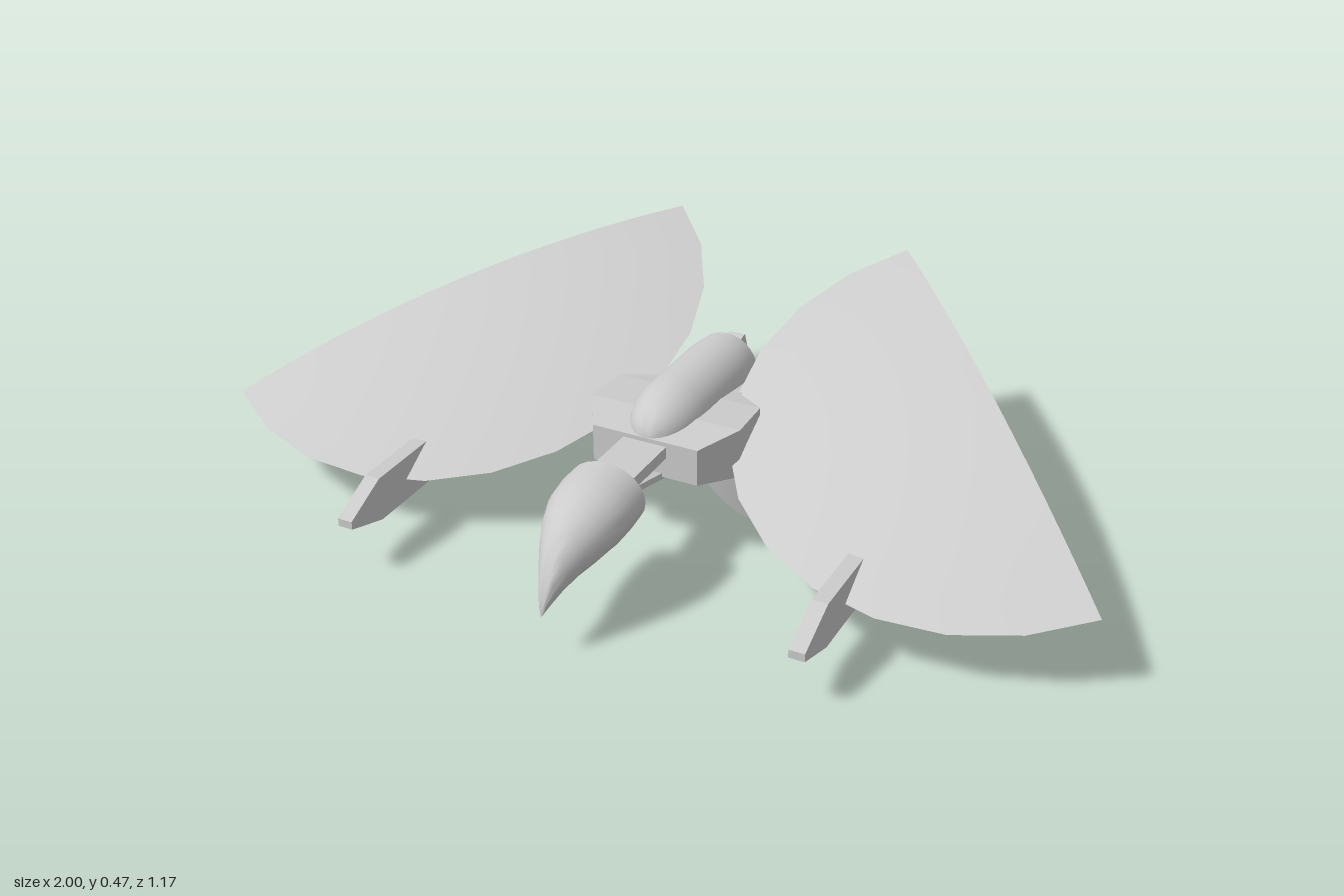
import * as THREE from 'three';
import { mergeGeometries, toCreasedNormals } from 'three/addons/utils/BufferGeometryUtils.js';

const material = new THREE.MeshStandardMaterial({ color: 0xcccccc, side: THREE.DoubleSide });
const V = (x, y, z) => new THREE.Vector3(x, y, z);

function part(name, geometry, crease = 0.6) {
  const mesh = new THREE.Mesh(toCreasedNormals(geometry, crease), material);
  mesh.name = name;
  return mesh;
}

// Skin over closed rings of [x, y, z] points, ordered from back to front
function loft(rings) {
  const n = rings[0].length, index = [];
  for (let i = 0; i < rings.length - 1; i++) {
    for (let j = 0; j < n; j++) {
      const a = i * n + j, b = i * n + (j + 1) % n;
      index.push(a, b, b + n, a, b + n, a + n);
    }
  }
  const last = (rings.length - 1) * n;
  for (let j = 1; j < n - 1; j++) {
    index.push(0, j + 1, j, last, last + j, last + j + 1);
  }
  const g = new THREE.BufferGeometry();
  g.setAttribute('position', new THREE.Float32BufferAttribute(rings.flat(2), 3));
  g.setIndex(index);
  return g;
}

const boxRing = (z, w, y0, y1) => [[w, y0, z], [w, y1, z], [-w, y1, z], [-w, y0, z]];

// Sector of a shallow unit dome or lens, closed on its cut faces
function lensSector(angle, segments, top, bottom) {
  const profile = [new THREE.Vector2(0, -bottom)];
  const steps = 8;
  if (bottom) {
    for (let i = 1; i < steps; i++) {
      const r = i / steps;
      profile.push(new THREE.Vector2(r, -bottom * (1 - r * r)));
    }
  }
  for (let i = steps; i >= 0; i--) {
    const r = i / steps;
    profile.push(new THREE.Vector2(r, top * (1 - r * r)));
  }
  const pieces = [new THREE.LatheGeometry(profile, segments, 0, angle)];
  for (const phi of [0, angle]) {
    pieces.push(new THREE.ShapeGeometry(new THREE.Shape(profile)).rotateY(phi - Math.PI / 2));
  }
  return mergeGeometries(pieces);
}

function place(geometry, x, y, z, origin) {
  return geometry.applyMatrix4(new THREE.Matrix4().makeBasis(x, y, z).setPosition(origin));
}

// Half-disc wing: flat below, domed above, straight trailing edge
function wing() {
  const tip = V(1, 0.18, 0.22), tail = V(0.285, 0.47, -0.585);
  const centre = tip.clone().add(tail).multiplyScalar(0.5);
  const radius = tip.distanceTo(tail) / 2;
  const u = tail.clone().sub(tip).normalize();
  const n = V(-0.02, 0.935, 0.355);
  n.addScaledVector(u, -n.dot(u)).normalize();
  const v = n.clone().cross(u);
  return part('wing', place(lensSector(Math.PI, 12, 0.06, 0),
    v.multiplyScalar(radius), n, u.multiplyScalar(radius), centre), 0.25);
}

// Quarter-disc fin slanting down and out
function fin() {
  const span = V(0.16, -0.2, 0);
  const normal = V(0, 0, 1).cross(span).normalize();
  return part('ventralFin', place(lensSector(Math.PI / 2, 8, 0.022, 0.022),
    span, normal, V(0, 0, 0.207), V(0.078, 0.202, -0.122)), 0.3);
}

// Flat gun pod under the wing
function pod() {
  const outline = [[0.515, 0.118], [0.515, 0.136], [0.41, 0.185], [0.095, 0.185],
    [0.083, 0.162], [0.085, 0.108], [0.1, 0.085], [0.41, 0.085]];
  const shape = new THREE.Shape(outline.map(([z, y]) => new THREE.Vector2(-z, y)));
  const g = new THREE.ExtrudeGeometry(shape, { depth: 0.034, bevelEnabled: false });
  return part('wingPod', g.rotateY(Math.PI / 2).translate(0.493, 0, 0), 0.1);
}

// Tapered tail boom, tilted up towards the back
function boom() {
  const ring = (w, x, yb, zb, yt, zt) =>
    [[x + w, yb, zb], [x + w * 0.72, yt, zt], [x - w * 0.72, yt, zt], [x - w, yb, zb]];
  return part('tailBoom', loft([
    ring(0.024, 0.068, 0.186, -0.455, 0.242, -0.446),
    ring(0.027, 0.068, 0.184, -0.442, 0.247, -0.436),
    ring(0.045, 0.07, 0.134, -0.168, 0.194, -0.16),
  ]), 0.2);
}

// Smooth drooping beak: z, half width, bottom, top
function head() {
  const sections = [
    [0.315, 0.088, 0.165, 0.305], [0.36, 0.089, 0.157, 0.304], [0.41, 0.085, 0.15, 0.296],
    [0.46, 0.069, 0.143, 0.276], [0.5, 0.051, 0.137, 0.25], [0.535, 0.033, 0.125, 0.217],
    [0.563, 0.018, 0.111, 0.175], [0.579, 0.008, 0.102, 0.137], [0.585, 0.002, 0.098, 0.108],
  ];
  return part('head', loft(sections.map(([z, w, yb, yt]) => {
    const mid = yb + (yt - yb) * 0.5;
    return Array.from({ length: 24 }, (_, i) => {
      const a = (i / 24) * Math.PI * 2;
      return [w * Math.cos(a), mid + (yt - mid) * Math.sin(a), z];
    });
  })), 0.9);
}

// Rounded upper body with a blunt back
function canopy() {
  const profile = [[0, -0.24], [0.074, -0.24], [0.08, -0.18], [0.08, 0.015]];
  for (let i = 1; i <= 8; i++) {
    const a = (i / 8) * Math.PI / 2;
    profile.push([0.08 * Math.cos(a), 0.015 + 0.137 * Math.sin(a)]);
  }
  const g = new THREE.LatheGeometry(profile.map(([r, y]) => new THREE.Vector2(r, y)), 28);
  return part('canopy', g.rotateX(Math.PI / 2).translate(0, 0.275, 0), 0.7);
}

export function createModel() {
  const model = new THREE.Group();
  model.name = 'flyer';

  // Central body
  model.add(part('hull', loft([
    boxRing(-0.237, 0.1, 0.206, 0.27),
    boxRing(-0.1, 0.1, 0.189, 0.287),
    boxRing(-0.05, 0.17, 0.184, 0.294),
    boxRing(0.06, 0.175, 0.184, 0.296),
    boxRing(0.152, 0.122, 0.197, 0.28),
  ]), 0.1));
  model.add(canopy());
  const exhaust = new THREE.CylinderGeometry(0.051, 0.051, 0.05, 20).rotateX(Math.PI / 2);
  model.add(part('exhaust', exhaust.translate(0, 0.27, -0.24)));

  // Head carried by a neck and a sloping brace
  model.add(head());
  model.add(part('neck', new THREE.BoxGeometry(0.1, 0.027, 0.22).translate(0, 0.257, 0.23)));
  const brace = new THREE.BoxGeometry(0.08, 0.014, 0.21).rotateX(-0.24);
  model.add(part('neckBrace', brace.translate(0, 0.217, 0.23)));

  // Mirrored parts
  for (const [name, sign] of [['leftSide', 1], ['rightSide', -1]]) {
    const side = new THREE.Group();
    side.name = name;
    side.add(wing(), pod(), fin(), boom());
    side.scale.x = sign;
    model.add(side);
  }
  return model;
}
